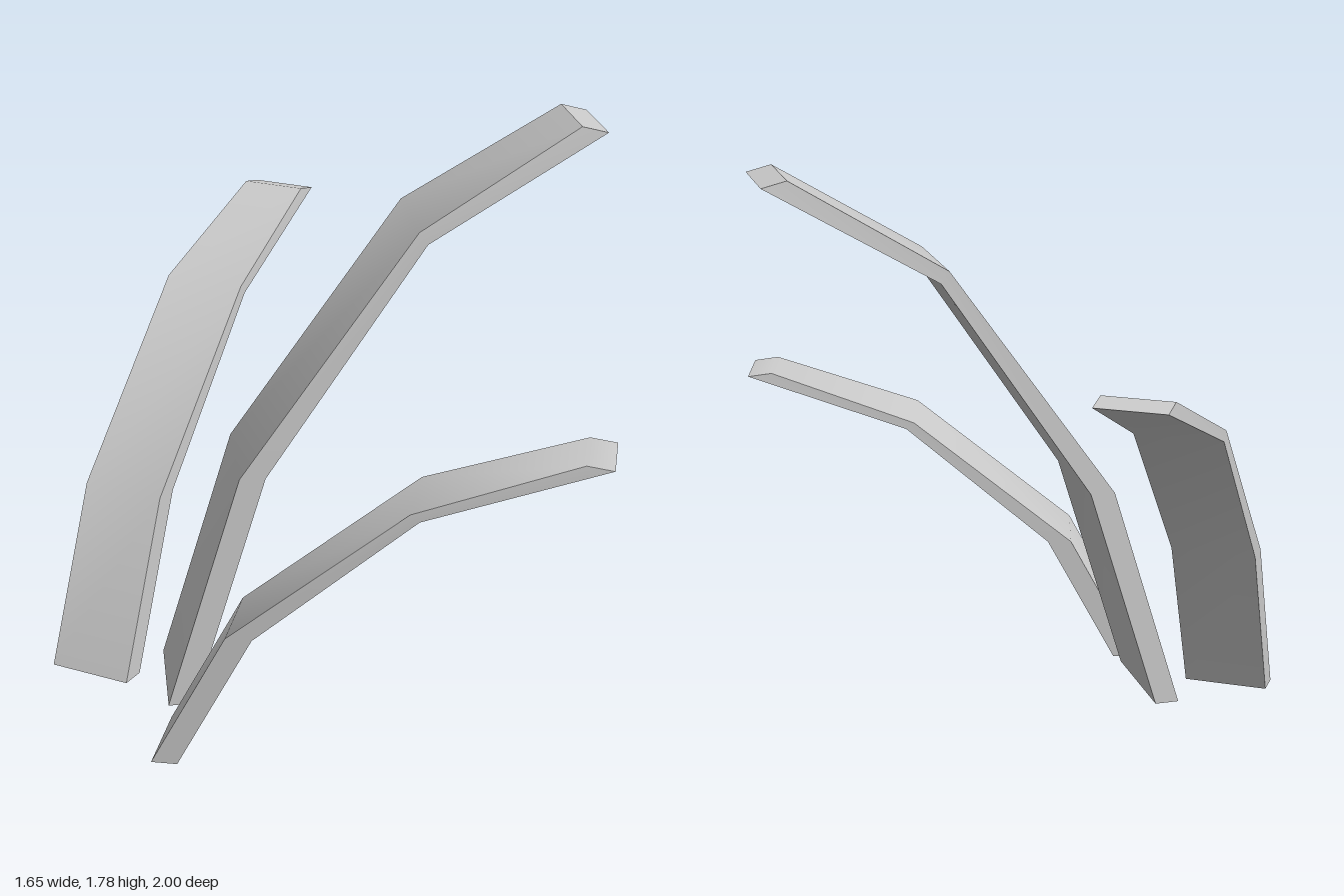
import * as THREE from 'three';
import { toCreasedNormals } from 'three/addons/utils/BufferGeometryUtils.js';

// Arching blade profile, base to tip: [reach, height fraction]
const OUTER = [[0, 0], [0.225, 0.417], [0.75, 0.837], [1.222, 1]];
const INNER = [[0.078, 0], [0.303, 0.417], [0.776, 0.816], [1.3, 0.989]];
const TAPER = [1, 1, 1, 0.78];

// A three-segment box bent along the profile
function bladeGeometry(height, width) {
  const box = new THREE.BoxGeometry(1, 1, 1, 1, 3, 1);
  const p = box.attributes.position;
  for (let i = 0; i < p.count; i++) {
    const row = Math.round((p.getY(i) + 0.5) * 3);
    const [x, y] = (p.getX(i) < 0 ? OUTER : INNER)[row];
    p.setXYZ(i, x, y * height, p.getZ(i) * width * TAPER[row]);
  }
  return toCreasedNormals(box, Math.PI / 6);
}

export function createModel() {
  const group = new THREE.Group();
  group.name = 'grassTuft';
  const material = new THREE.MeshStandardMaterial({ color: 0xcccccc });

  const blades = [
    { name: 'tallBlade', height: 1.768, width: 0.372, at: [-0.475, 0.01, 0.174], turn: 0 },
    { name: 'backBlade', height: 1.295, width: 0.271, at: [-0.7125, 0.015, 0.135], turn: 0.982 },
    { name: 'frontBlade', height: 1.002, width: 0.275, at: [-0.505, 0, 0.5475], turn: -0.267 },
  ];
  for (const { name, height, width, at, turn } of blades) {
    const blade = new THREE.Mesh(bladeGeometry(height, width), material);
    blade.name = name;
    blade.position.set(...at);
    blade.rotation.y = turn;
    group.add(blade);
  }
  return group;
}
